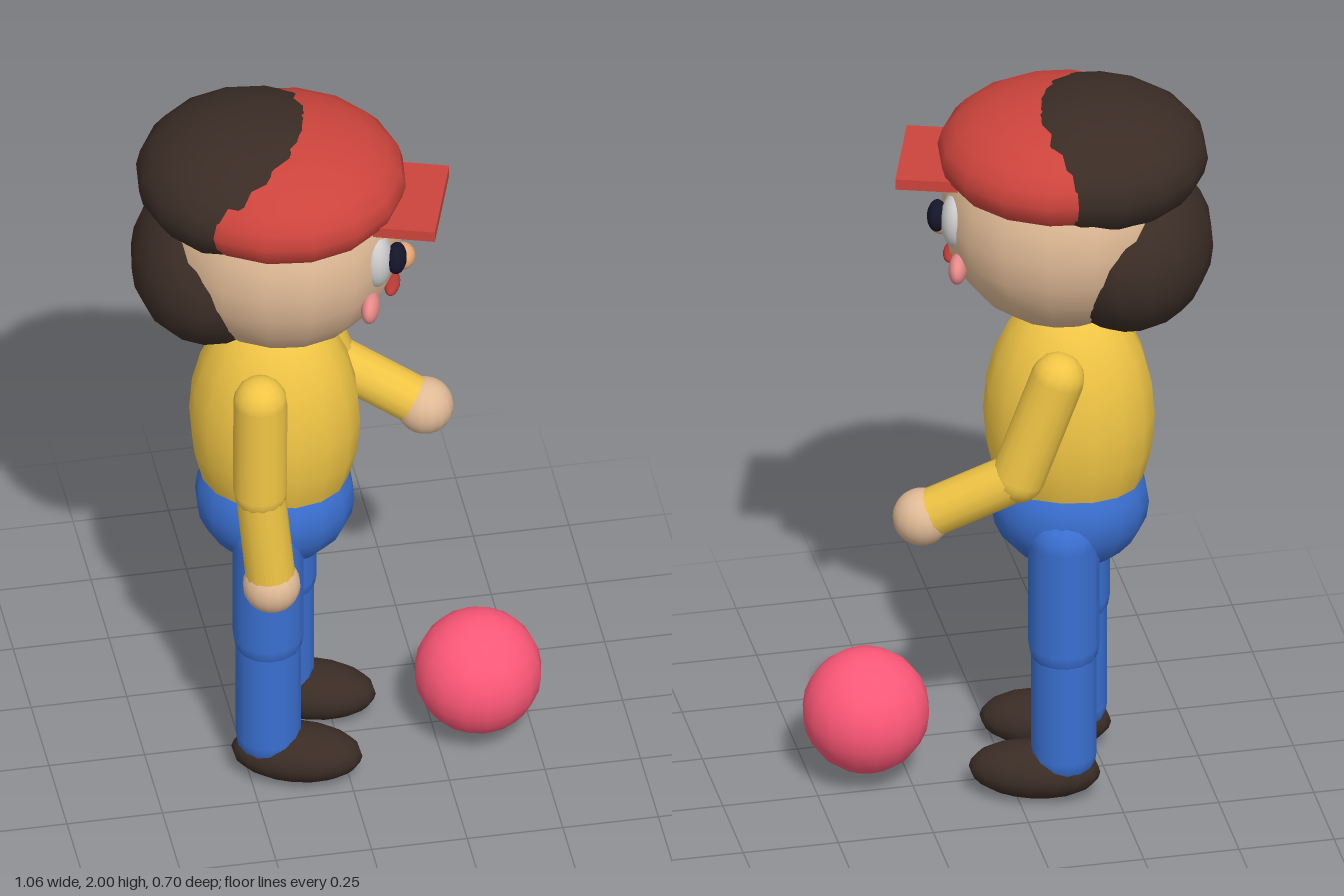
import * as THREE from 'three';

const COLORS = {
  skin: 0xe0ba96, nose: 0xe8a878, hair: 0x3a2c25, red: 0xcc443c, yellow: 0xf0c545, blue: 0x3a6fd0,
  shoe: 0x3a2c25, white: 0xdddddd, pupil: 0x15152a, cheek: 0xe88a8a, mouth: 0xb83a35, ball: 0xff5878,
};
const mats = {};
for (const key in COLORS) mats[key] = new THREE.MeshStandardMaterial({ color: COLORS[key] });

function add(parent, name, geometry, mat, position) {
  const mesh = new THREE.Mesh(geometry, mats[mat]);
  mesh.name = name;
  mesh.position.set(...position);
  parent.add(mesh);
  return mesh;
}

// Ellipsoid with smooth normals
function ellipsoid(parent, name, mat, position, radii) {
  const geometry = new THREE.SphereGeometry(1, 16, 12).scale(...radii);
  return add(parent, name, geometry, mat, position);
}

// Capsule running between two joints
function limb(parent, name, mat, from, to, radius) {
  const a = new THREE.Vector3(...from), b = new THREE.Vector3(...to);
  const dir = b.clone().sub(a);
  const geometry = new THREE.CapsuleGeometry(radius, dir.length(), 5, 14);
  const mesh = add(parent, name, geometry, mat, a.add(b).multiplyScalar(0.5).toArray());
  mesh.quaternion.setFromUnitVectors(new THREE.Vector3(0, 1, 0), dir.normalize());
  return mesh;
}

function group(parent, name) {
  const g = new THREE.Group();
  g.name = name;
  parent.add(g);
  return g;
}

// Head, modelled facing +x
function buildHead(figure) {
  const head = group(figure, 'head');
  head.position.x = 0.02;
  ellipsoid(head, 'face', 'skin', [0, 1.66, 0], [0.31, 0.31, 0.31]);
  ellipsoid(head, 'hairTop', 'hair', [-0.08, 1.83, -0.005], [0.30, 0.17, 0.30]);
  ellipsoid(head, 'hairBack', 'hair', [-0.178, 1.57, 0], [0.215, 0.22, 0.275]);
  ellipsoid(head, 'cap', 'red', [0, 1.83, 0], [0.32, 0.155, 0.32]);
  add(head, 'capBrim', new THREE.BoxGeometry(0.16, 0.03, 0.285), 'red', [0.334, 1.783, 0]);
  ellipsoid(head, 'nose', 'nose', [0.31, 1.605, 0], [0.035, 0.037, 0.037]);
  ellipsoid(head, 'mouth', 'mouth', [0.285, 1.512, 0], [0.02, 0.017, 0.05]);
  for (const s of [1, -1]) {
    ellipsoid(head, 'eye', 'white', [0.26, 1.672, s * 0.112], [0.04, 0.077, 0.058]);
    ellipsoid(head, 'pupil', 'pupil', [0.31, 1.677, s * 0.105], [0.026, 0.042, 0.042]);
    ellipsoid(head, 'cheek', 'cheek', [0.25, 1.557, s * 0.165], [0.024, 0.038, 0.052]);
  }
}

// Arm: sleeve above the elbow, forearm and hand
function buildArm(figure, name, shoulder, elbow, hand) {
  const arm = group(figure, name);
  limb(arm, 'upperArm', 'yellow', shoulder, elbow, 0.07);
  limb(arm, 'forearm', 'yellow', elbow, hand, 0.064);
  ellipsoid(arm, 'hand', 'skin', hand, [0.075, 0.075, 0.075]);
}

export function createModel() {
  const model = new THREE.Group();
  model.name = 'childWithBall';

  // The figure faces +x, turned slightly toward +z
  const figure = group(model, 'figure');
  figure.position.x = -0.16;
  figure.rotation.y = -0.315;

  buildHead(figure);
  ellipsoid(figure, 'torso', 'yellow', [0, 1.06, 0], [0.222, 0.36, 0.2]);
  ellipsoid(figure, 'hips', 'blue', [0, 0.805, 0], [0.207, 0.18, 0.195]);

  buildArm(figure, 'hangingArm', [0, 1.315, 0.285], [0, 1.03, 0.287], [0.03, 0.73, 0.29]);
  buildArm(figure, 'reachingArm', [0, 1.315, -0.285], [0.1, 1.03, -0.3], [0.35, 0.895, -0.298]);

  for (const s of [1, -1]) {
    const leg = group(figure, s < 0 ? 'rightLeg' : 'leftLeg');
    const z = s * 0.13;
    limb(leg, 'thigh', 'blue', [0, 0.75, z], [0, 0.45, z], 0.092);
    limb(leg, 'shin', 'blue', [0, 0.41, z], [0, 0.13, z], 0.085);
    ellipsoid(leg, 'shoe', 'shoe', [0.075, 0.074, s * 0.133], [0.17, 0.073, 0.092]);
  }

  ellipsoid(model, 'ball', 'ball', [0.36, 0.203, 0.065], [0.165, 0.165, 0.165]);
  return model;
}
